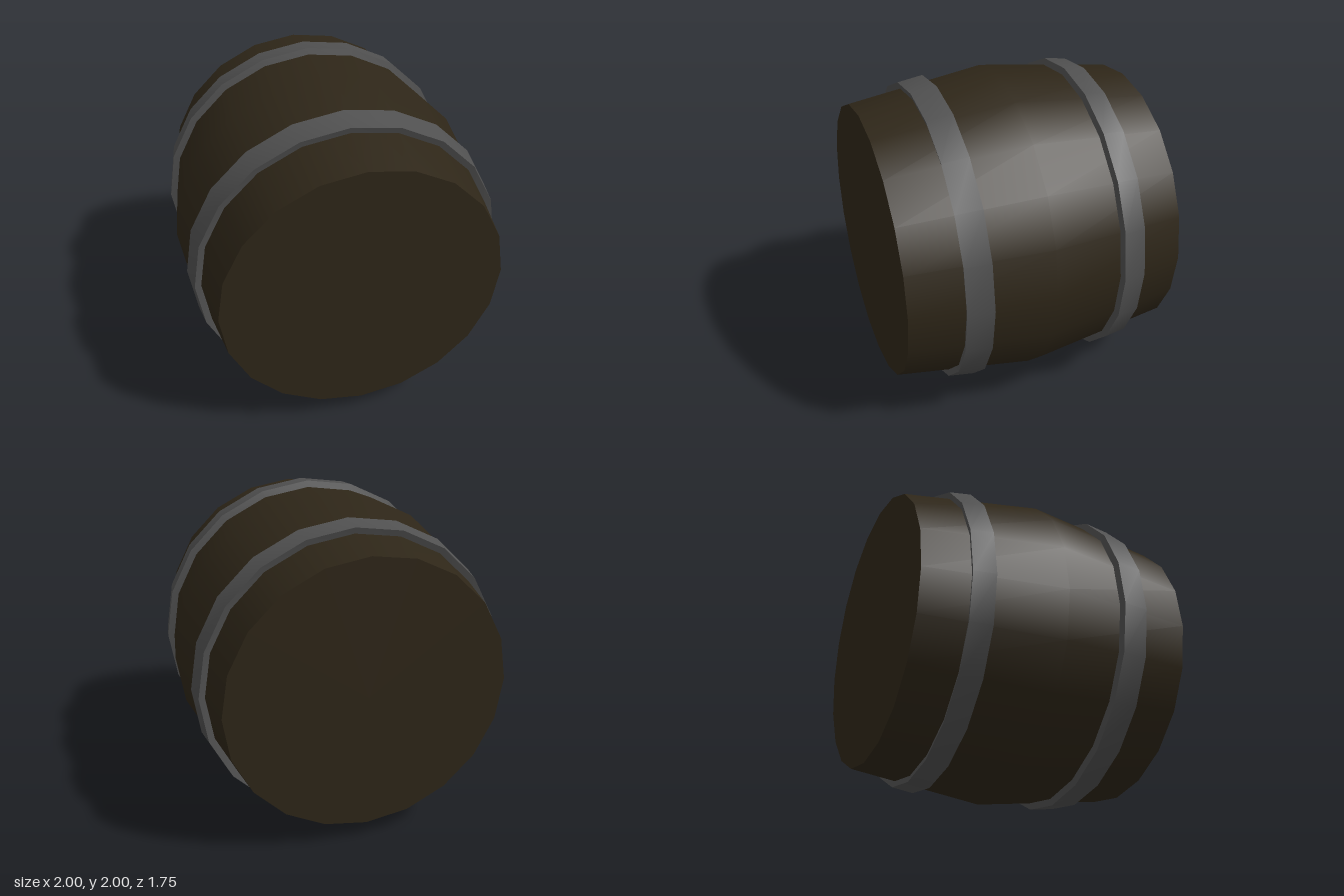
import * as THREE from 'three';
import { toCreasedNormals } from 'three/addons/utils/BufferGeometryUtils.js';

const SIDES = 20;

// Revolve [radius, z] points (running back to front) around the z axis
function turned(name, profile, material) {
  const points = profile.map(([r, z]) => new THREE.Vector2(r, z));
  const geometry = new THREE.LatheGeometry(points, SIDES).rotateX(Math.PI / 2);
  const mesh = new THREE.Mesh(toCreasedNormals(geometry, 0.45), material);
  mesh.name = name;
  mesh.position.y = 1;
  return mesh;
}

export function createModel() {
  const wood = new THREE.MeshStandardMaterial({ color: 0x2e2618 });
  const iron = new THREE.MeshStandardMaterial({ color: 0x505050, side: THREE.DoubleSide });
  const barrel = new THREE.Group();
  barrel.name = 'barrel';

  // Bulging body with flat ends, lying on its side
  barrel.add(turned('body', [[0, -0.875], [0.88, -0.875], [1, 0], [0.88, 0.875], [0, 0.875]], wood));

  // Hoops follow the taper; their rims are square to the staves and sink into them
  barrel.add(turned('frontHoop', [[0.94, 0.37], [0.99, 0.385], [0.967, 0.55], [0.92, 0.537]], iron));
  barrel.add(turned('backHoop', [[0.915, -0.582], [0.96, -0.595], [0.98, -0.455], [0.93, -0.44]], iron));

  return barrel;
}
